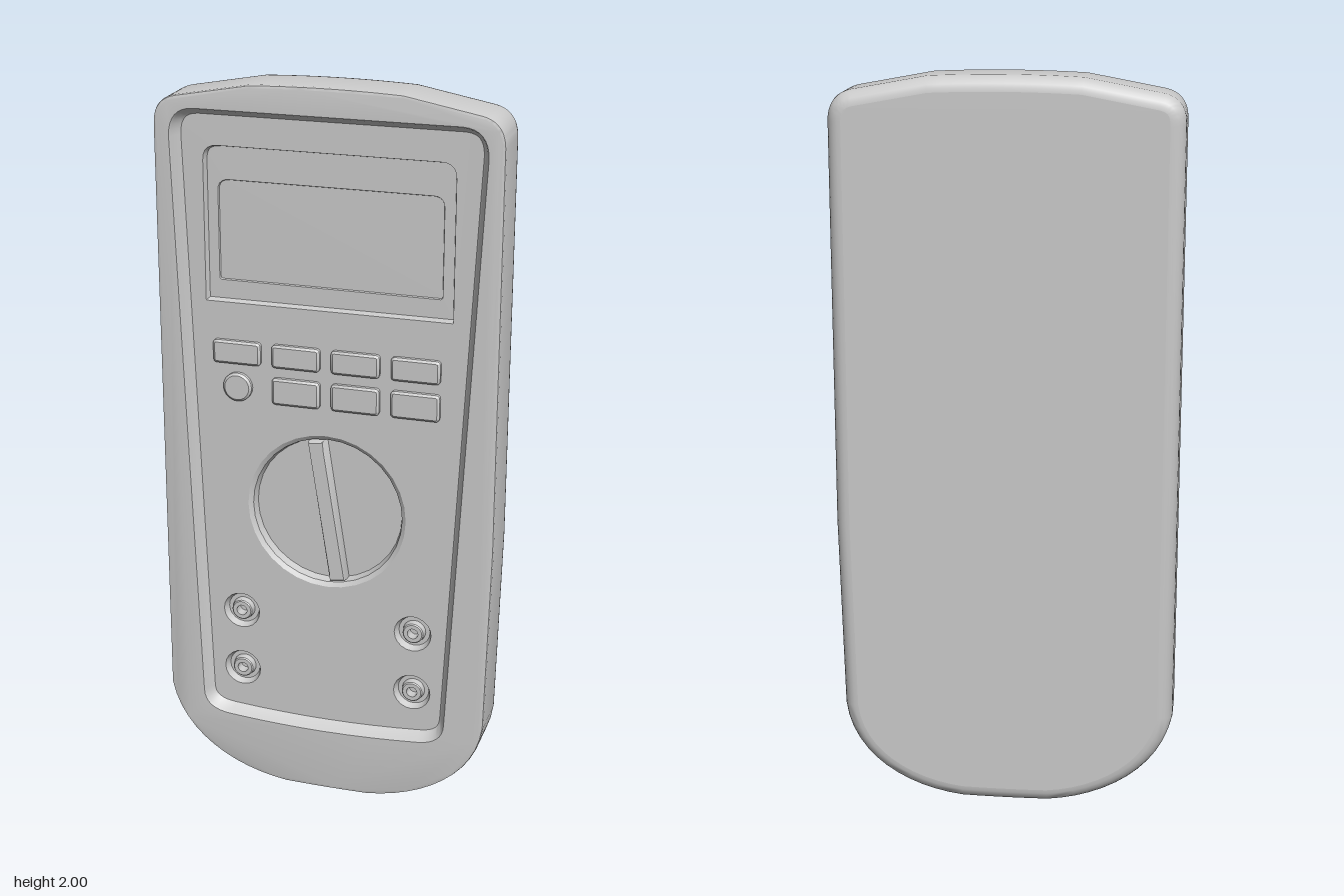
import * as THREE from 'three';
import { mergeGeometries, toCreasedNormals } from 'three/addons/utils/BufferGeometryUtils.js';

const FRONT = 0.085, BACK = -0.085, PANEL = 0.05;
const material = new THREE.MeshStandardMaterial({ color: 0xcccccc });

// Counter-clockwise points of a closed shape, without a repeated end point
function outline(shape, divisions = 8) {
  const pts = shape.getPoints(divisions);
  if (pts[0].distanceTo(pts[pts.length - 1]) < 1e-5) pts.pop();
  return THREE.ShapeUtils.isClockWise(pts) ? pts.reverse() : pts;
}

// Move an outline inwards by d with mitred corners
function inset(pts, d) {
  const n = pts.length;
  return pts.map((p, i) => {
    const a = p.clone().sub(pts[(i + n - 1) % n]).normalize();
    const b = pts[(i + 1) % n].clone().sub(p).normalize();
    const k = d / Math.max(0.3, 1 + a.dot(b));
    return new THREE.Vector2(p.x - (a.y + b.y) * k, p.y + (a.x + b.x) * k);
  });
}

function circle(x, y, r, sides = 28) {
  return Array.from({ length: sides }, (_, i) => {
    const t = (i / sides) * Math.PI * 2;
    return new THREE.Vector2(x + r * Math.cos(t), y + r * Math.sin(t));
  });
}

// Rectangle with separate top and bottom corner radii
function rect(x0, x1, y0, y1, rt, rb = rt) {
  const s = new THREE.Shape();
  s.moveTo(x0 + rb, y0).lineTo(x1 - rb, y0).quadraticCurveTo(x1, y0, x1, y0 + rb);
  s.lineTo(x1, y1 - rt).quadraticCurveTo(x1, y1, x1 - rt, y1);
  s.lineTo(x0 + rt, y1).quadraticCurveTo(x0, y1, x0, y1 - rt);
  s.lineTo(x0, y0 + rb).quadraticCurveTo(x0, y0, x0 + rb, y0);
  return outline(s, 5).filter((p, i, all) => p.distanceTo(all[(i + 1) % all.length]) > 1e-5);
}

// Walls through [inset, z] layers plus a front-facing cap on the last one.
// Rising layers make a raised part, falling layers make a recess.
function layered(name, pts, layers, holes = []) {
  const n = pts.length, pos = [], uv = [], index = [];
  for (const [d, z] of layers) for (const p of inset(pts, d)) {
    pos.push(p.x, p.y, z);
    uv.push(p.x, p.y);
  }
  for (let l = 0; l < layers.length - 1; l++) for (let i = 0; i < n; i++) {
    const a = l * n + i, b = l * n + (i + 1) % n;
    index.push(a, b, b + n, a, b + n, a + n);
  }
  const walls = new THREE.BufferGeometry();
  walls.setAttribute('position', new THREE.Float32BufferAttribute(pos, 3));
  walls.setAttribute('uv', new THREE.Float32BufferAttribute(uv, 2));
  walls.setIndex(index);
  walls.computeVertexNormals();
  const [d, z] = layers[layers.length - 1];
  const face = new THREE.Shape(inset(pts, d));
  face.holes = holes.map(h => new THREE.Path(h));
  const cap = new THREE.ShapeGeometry(face).translate(0, 0, z);
  const mesh = new THREE.Mesh(toCreasedNormals(mergeGeometries([walls, cap]), 0.55), material);
  mesh.name = name;
  return mesh;
}

export function createModel() {
  const model = new THREE.Group();
  model.name = 'multimeter';

  // Case outline: bowed top, straight sides, rounded base
  const c = new THREE.Shape();
  c.moveTo(-0.12, 0.003).quadraticCurveTo(0, 0, 0.12, 0.003);
  c.bezierCurveTo(0.28, 0.02, 0.43, 0.11, 0.447, 0.27);
  c.lineTo(0.46, 0.8).lineTo(0.46, 1.88);
  c.quadraticCurveTo(0.458, 1.945, 0.4, 1.958);
  c.lineTo(0.2, 1.995).quadraticCurveTo(0, 2.005, -0.2, 1.995);
  c.lineTo(-0.4, 1.958).quadraticCurveTo(-0.46, 1.945, -0.46, 1.88);
  c.lineTo(-0.46, 0.27).bezierCurveTo(-0.43, 0.11, -0.28, 0.02, -0.12, 0.003);
  const body = outline(c, 12);

  // Tapered recess for the control panel
  const r = new THREE.Shape();
  r.moveTo(-0.28, 0.195).quadraticCurveTo(-0.01, 0.172, 0.26, 0.195);
  r.quadraticCurveTo(0.335, 0.2, 0.337, 0.26);
  r.lineTo(0.418, 1.85).quadraticCurveTo(0.418, 1.925, 0.35, 1.927);
  r.lineTo(-0.35, 1.927).quadraticCurveTo(-0.418, 1.925, -0.418, 1.85);
  r.lineTo(-0.362, 0.26).quadraticCurveTo(-0.36, 0.2, -0.28, 0.195);
  const recess = outline(r);

  // Case with a rounded back edge and a crisp front rim
  const layers = [];
  for (let i = 0; i <= 6; i++) {
    const t = (i / 6) * Math.PI / 2;
    layers.push([0.04 * (1 - Math.sin(t)), BACK + 0.04 * (1 - Math.cos(t))]);
  }
  layers.push([0, FRONT - 0.008], [0.002, FRONT - 0.002], [0.008, FRONT]);
  model.add(layered('case', body, layers, [recess]));

  const backFace = new THREE.Shape(inset(body, 0.04).map(p => new THREE.Vector2(-p.x, p.y)));
  const back = new THREE.Mesh(new THREE.ShapeGeometry(backFace), material);
  back.rotation.y = Math.PI;
  back.position.z = BACK;
  back.name = 'backCover';
  model.add(back);

  // Control panel with openings for screen, dial and sockets
  const screen = rect(-0.34, 0.33, 1.41, 1.827, 0.04, 0.003);
  const glass = rect(-0.307, 0.297, 1.465, 1.735, 0.03, 0.008);
  const dial = circle(-0.01, 0.84, 0.222, 32);
  const sockets = [];
  for (const x of [-0.257, 0.236]) for (const y of [0.33, 0.51]) sockets.push([x, y]);
  const socketRims = sockets.map(([x, y]) => circle(x, y, 0.052, 20));
  model.add(layered('controlPanel', recess,
    [[0, FRONT], [0.004, FRONT - 0.006], [0.014, PANEL + 0.006], [0.02, PANEL]],
    [screen, dial, ...socketRims]));

  // Screen
  model.add(layered('screenFrame', screen, [[0, PANEL], [0.005, PANEL - 0.018]], [glass]));
  model.add(layered('screenGlass', glass, [[0, PANEL - 0.018], [0.002, PANEL - 0.023]]));

  // Buttons: two rows of four, the first of the lower row is round
  const raised = [[0, PANEL], [0, PANEL + 0.01], [0.006, PANEL + 0.015]];
  for (let col = 0; col < 4; col++) {
    const x = -0.254 + col * 0.163;
    model.add(layered('upperButton', rect(x - 0.066, x + 0.066, 1.243, 1.307, 0.012), raised));
    model.add(layered('lowerButton', col === 0
      ? circle(x, 1.178, 0.04, 20)
      : rect(x - 0.066, x + 0.066, 1.14, 1.214, 0.012), raised));
  }

  // Rotary dial: sunken dish with a slanted grip bar
  const floor = PANEL - 0.03;
  model.add(layered('dialDish', dial, [[0, PANEL], [0.012, PANEL - 0.008], [0.018, floor]]));
  const grip = layered('dialGrip', rect(-0.026, 0.026, -0.208, 0.208, 0.006),
    [[0, floor], [0.005, PANEL - 0.004], [0.008, PANEL]]);
  grip.position.set(-0.01, 0.84, 0);
  grip.rotation.z = 0.15;
  model.add(grip);

  // Sockets: sunken ring around a hollow collar
  sockets.forEach(([x, y], i) => {
    const collar = circle(x, y, 0.032, 20), bore = circle(x, y, 0.015, 14);
    model.add(layered('socketWell', socketRims[i],
      [[0, PANEL], [0.008, PANEL - 0.02]], [collar]));
    model.add(layered('socketCollar', collar,
      [[0, PANEL - 0.02], [0.003, PANEL - 0.003], [0.006, PANEL]], [bore]));
    model.add(layered('socketBore', bore, [[0, PANEL], [0, PANEL - 0.03]]));
  });
  return model;
}
